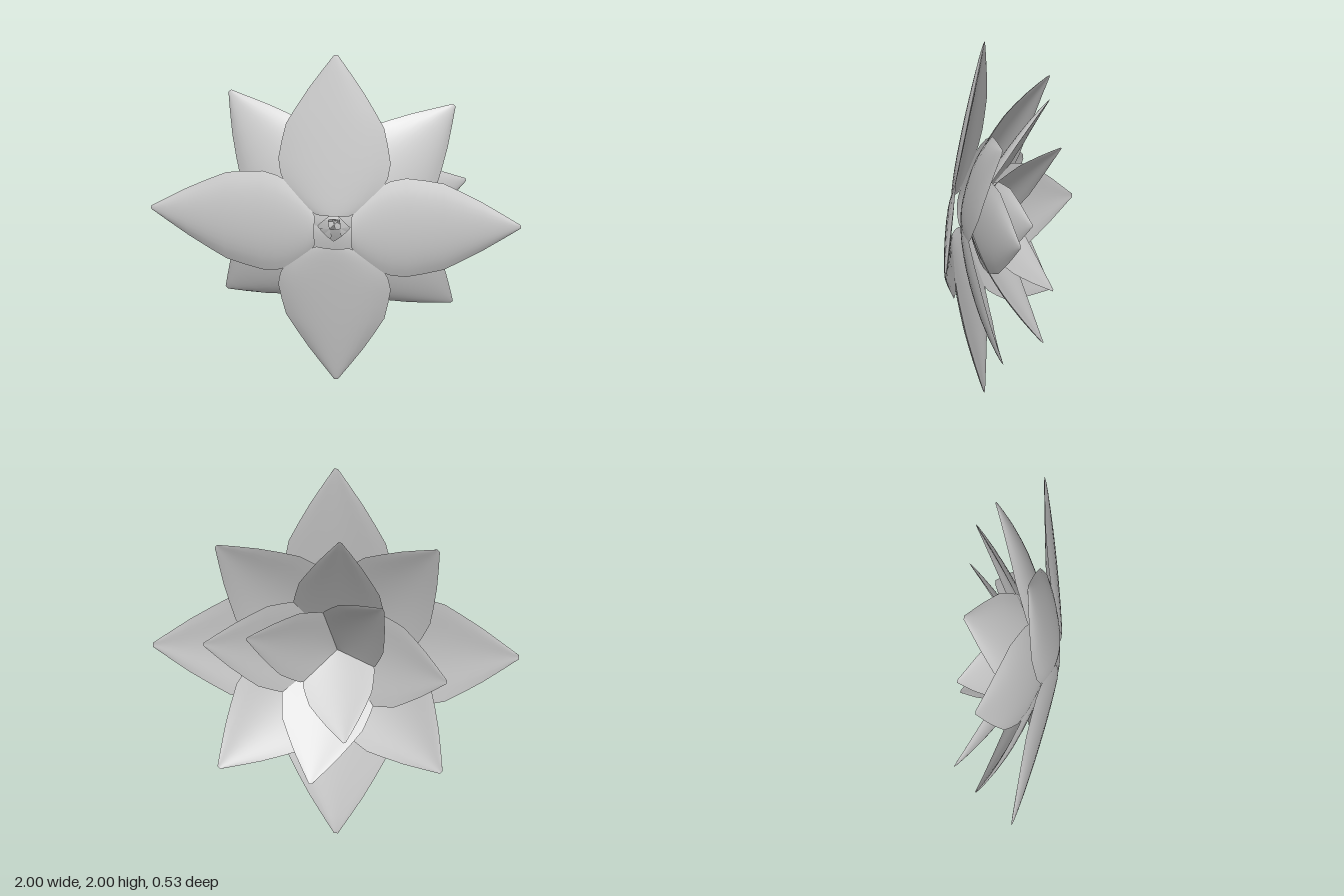
import * as THREE from 'three';

// Petal outline: [distance along, half width], for a petal of unit length
const OUTLINE = [[0, 0.095], [0.04, 0.165], [0.1, 0.23], [0.17, 0.286], [0.24, 0.318], [0.33, 0.332],
  [0.44, 0.314], [0.55, 0.29], [0.66, 0.23], [0.78, 0.16], [0.9, 0.08], [0.97, 0.032], [1, 0.012]];
const ACROSS = 12;

// Thin closed petal: +x runs to the tip, y across, +z is the convex outer side
function petalGeometry(bend, cup) {
  const positions = [], indices = [];
  const row = ACROSS + 1;
  for (const side of [1, -1]) {
    const start = positions.length / 3;
    OUTLINE.forEach(([t, w], i) => {
      const thick = 0.018 * Math.sqrt(Math.max(0, Math.sin(Math.PI * t)));
      for (let j = 0; j <= ACROSS; j++) {
        const s = (j / ACROSS) * 2 - 1;
        const middle = bend * 4 * t * (1 - t) - cup * s * s * (w / 0.33);
        positions.push(t, s * w, middle + side * thick * (1 - s ** 4));
        if (i === 0 || j === 0) continue;
        const d = start + i * row + j, c = d - 1, b = d - row, a = b - 1;
        if (side > 0) indices.push(a, c, d, a, d, b);
        else indices.push(a, d, c, a, b, d);
      }
    });
  }
  const geometry = new THREE.BufferGeometry();
  geometry.setAttribute('position', new THREE.Float32BufferAttribute(positions, 3));
  geometry.setIndex(indices);
  geometry.computeVertexNormals();
  return geometry;
}

// Rings of petals: base and tip are [radius, z]; turn is the first petal's angle in degrees
const RINGS = [
  { name: 'outerPetal', count: 4, turn: 0, base: [0.1, 0.262], tip: [1, 0.09], bend: 0, cup: 0.045 },
  { name: 'secondPetal', count: 4, turn: 44.3, base: [0.065, 0.205], tip: [0.86, -0.14], bend: 0.04, cup: 0.055 },
  { name: 'thirdPetal', count: 4, turn: 7, base: [0.03, 0.17], tip: [0.67, -0.25], bend: 0.022, cup: 0.045 },
  { name: 'innerPetal', count: 3, turn: 16, base: [-0.01, 0.14], tip: [0.445, -0.265], bend: 0.02, cup: 0.045 },
];

export function createModel() {
  const flower = new THREE.Group();
  flower.name = 'flower';
  const material = new THREE.MeshStandardMaterial({ color: 0xcccccc, side: THREE.DoubleSide });

  for (const { name, count, turn, base, tip, bend, cup } of RINGS) {
    const geometry = petalGeometry(bend, cup);
    const reach = tip[0] - base[0], rise = base[1] - tip[1];
    for (let i = 0; i < count; i++) {
      const petal = new THREE.Mesh(geometry, material);
      petal.name = name;
      petal.position.set(base[0], 0, base[1]);
      petal.rotation.y = Math.atan2(rise, reach);
      petal.scale.setScalar(Math.hypot(reach, rise));
      // Spin each petal about the flower's axis
      const spoke = new THREE.Group();
      spoke.name = name + 'Spoke';
      spoke.position.y = 1;
      spoke.rotation.z = THREE.MathUtils.degToRad(turn + (360 / count) * i);
      spoke.add(petal);
      flower.add(spoke);
    }
  }
  return flower;
}
